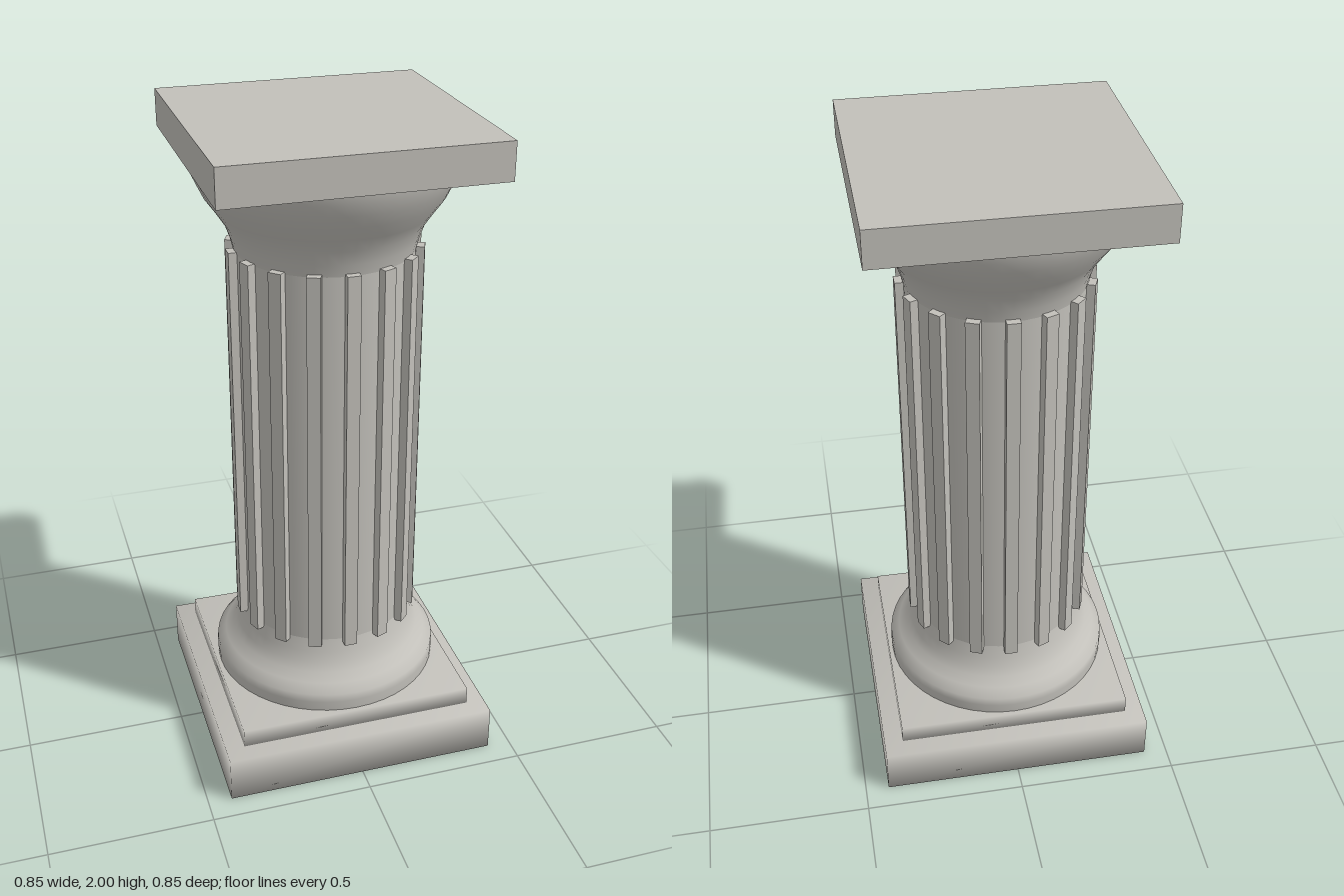
import * as THREE from 'three';
import { mergeVertices } from 'three/addons/utils/BufferGeometryUtils.js';

// Box whose corners share normals, for a softly worn look
function softBox(w, h, d) {
  const g = new THREE.BoxGeometry(w, h, d);
  g.deleteAttribute('normal');
  g.deleteAttribute('uv');
  const merged = mergeVertices(g);
  merged.computeVertexNormals();
  return merged;
}

export function createModel() {
  const group = new THREE.Group();
  group.name = 'column';
  const stone = new THREE.MeshStandardMaterial({ color: 0xc2c0ba });
  stone.name = 'stone';

  const add = (name, geometry, y = 0, parent = group) => {
    const mesh = new THREE.Mesh(geometry, stone);
    mesh.name = name;
    mesh.position.y = y;
    parent.add(mesh);
    return mesh;
  };
  const lathe = (points) =>
    new THREE.LatheGeometry(points.map(([r, y]) => new THREE.Vector2(r, y)), 48);

  // Square base slabs
  add('plinth', softBox(0.854, 0.145, 0.854), 0.0725);
  add('upperPlinth', softBox(0.736, 0.06, 0.736), 0.172);

  // Round foot, shaft and flared capital
  add('foot', lathe([
    [0.355, 0.2], [0.357, 0.235], [0.355, 0.262], [0.328, 0.287],
    [0.302, 0.31], [0.287, 0.338], [0.275, 0.368], [0.265, 0.41],
  ]));
  add('shaft', lathe([[0.265, 0.4], [0.265, 1.63]]));
  add('capital', lathe([
    [0.265, 1.62], [0.273, 1.655], [0.289, 1.7], [0.315, 1.74],
    [0.347, 1.785], [0.366, 1.825], [0.382, 1.86], [0.386, 1.89],
  ]));

  // Sixteen raised ribs around the shaft
  const ribs = new THREE.Group();
  ribs.name = 'ribs';
  group.add(ribs);
  const ribGeometry = new THREE.BoxGeometry(0.04, 1.23, 0.05);
  for (let i = 0; i < 16; i++) {
    const a = (i / 16) * Math.PI * 2;
    const rib = add('rib', ribGeometry, 1.013, ribs);
    rib.position.x = Math.sin(a) * 0.264;
    rib.position.z = Math.cos(a) * 0.264;
    rib.rotation.y = a;
  }

  // Square top slab
  add('abacus', new THREE.BoxGeometry(0.8, 0.11, 0.8), 1.945);

  return group;
}
